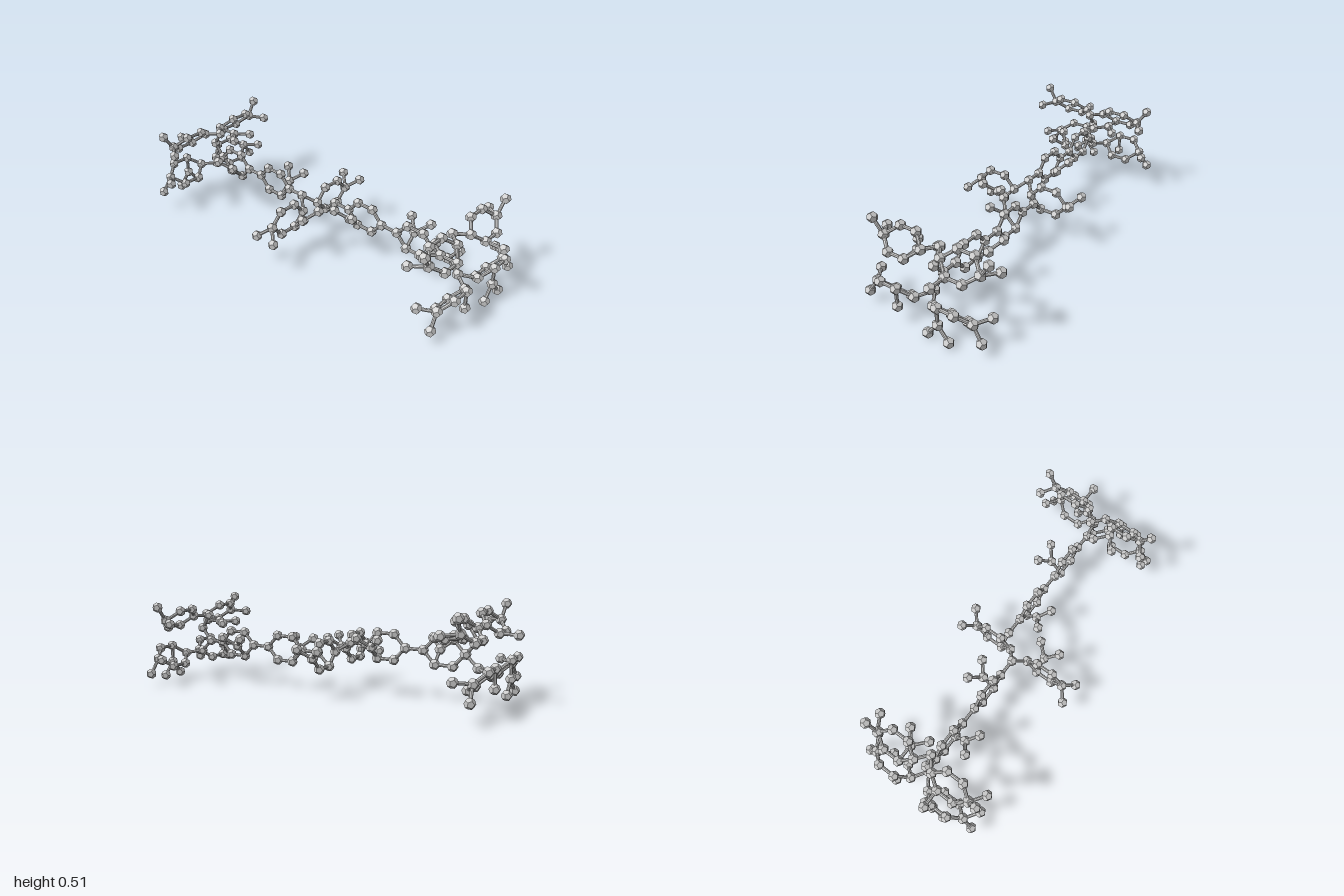
import * as THREE from 'three';

const V = (x, y, z) => new THREE.Vector3(x, y, z);
const material = new THREE.MeshStandardMaterial({ color: 0xcccccc, flatShading: true });
const ballGeometry = new THREE.DodecahedronGeometry(0.028);
const stickGeometry = new THREE.CylinderGeometry(0.009, 0.009, 1, 8, 1, true);
const UP = V(0, 1, 0), DOWN = V(0, -1, 0);
const X = V(1, 0, 0), Z = V(0, 0, 1);
const D = Math.SQRT1_2;

// p + sum of scaled directions
function offset(p, ...terms) {
  const out = p.clone();
  for (const [dir, s] of terms) out.addScaledVector(dir, s);
  return out;
}

function ball(parent, p) {
  const mesh = new THREE.Mesh(ballGeometry, material);
  mesh.name = 'ball';
  mesh.position.copy(p);
  parent.add(mesh);
  return p;
}

function stick(parent, a, b) {
  const mesh = new THREE.Mesh(stickGeometry, material);
  const d = b.clone().sub(a);
  mesh.name = 'stick';
  mesh.position.copy(a).addScaledVector(d, 0.5);
  mesh.scale.y = d.length();
  mesh.quaternion.setFromUnitVectors(UP, d.normalize());
  parent.add(mesh);
}

// Ball joined by a stick to an existing point
function grow(parent, from, p) {
  stick(parent, from, ball(parent, p));
  return p;
}

function part(parent, name) {
  const group = new THREE.Group();
  group.name = name;
  parent.add(group);
  return group;
}

// Six-sided ring: corner 0 is the root, corner 3 the far end, 1 and 2 lie on the -e side
function ring(parent, name, centre, a, e) {
  const g = part(parent, name);
  const layout = [[-0.111, 0], [-0.048, -1], [0.048, -1], [0.111, 0], [0.048, 1], [-0.048, 1]];
  const p = layout.map(([s, t]) => ball(g, offset(centre, [a, s], [e, t * 0.067])));
  p.forEach((q, i) => stick(g, q, p[(i + 1) % 6]));
  return p;
}

// Y-shaped branch leaving a ring corner along e + u, spread along side
function fork(parent, from, e, u, side) {
  const g = part(parent, 'fork');
  const hub = grow(g, from, offset(from, [e, 0.066], [u, 0.066]));
  for (const s of [-0.06, 0.06]) grow(g, hub, offset(hub, [e, 0.049], [u, 0.051], [side, s]));
}

// Two rings running along +z and -z from a shared joint, each with an outer fork;
// eFront and eBack are the cross directions of the two rings
function ringPair(parent, name, joint, centre, eFront, eBack, n) {
  const g = part(parent, name);
  ball(g, joint);
  return [[1, eFront], [-1, eBack]].map(([s, e]) => {
    const a = V(0, 0, s);
    const p = ring(g, 'ring', offset(centre, [Z, joint.z + s * 0.167]), a, e);
    stick(g, joint, p[0]);
    fork(g, p[2], e, a, n);
    return p;
  });
}

// Arm of two flat rings along x, each carrying one fork
function arm(parent, name, joint, sx, firstX, uz) {
  const g = part(parent, name);
  let last = joint;
  for (let i = 0; i < 2; i++) {
    const a = V(sx, 0, 0);
    const p = ring(g, 'armRing', V(sx * (firstX + i * 0.321), joint.y, joint.z), a, UP);
    stick(g, last, p[0]);
    fork(g, p[1], UP, V(0, 0, i ? -uz : uz), X);
    last = p[3];
  }
  return last;
}

// End cluster: an upper and a lower ring pair, built for the +x end
function endCluster(parent, name) {
  const g = part(parent, name);
  const z = -0.06;
  const core = ball(g, V(0.75, 0.22, z));

  const bend = grow(g, core, V(0.81, 0.29, z));
  const upperJoint = V(0.76, 0.367, z);
  stick(g, bend, upperJoint);
  const e1 = V(-D, D, 0), n1 = V(-D, -D, 0);
  const upper = ringPair(g, 'upperRings', upperJoint, V(0.827, 0.364, 0), e1, e1, n1);
  fork(g, upper[0][1], e1, n1, Z);
  grow(g, upper[1][1], offset(upper[1][1], [X, 0.097]));

  const lowerJoint = V(0.815, 0.157, z);
  stick(g, core, lowerJoint);
  const e2 = V(-D, -D, 0), n2 = V(D, -D, 0);
  const lower = ringPair(g, 'lowerRings', lowerJoint, V(0.893, 0.144, 0), e2, e2, n2);
  fork(g, lower[1][1], e2, n2, Z);
  grow(g, lower[0][1], offset(lower[0][1], [DOWN, 0.097]));
  return g;
}

export function createModel() {
  const model = new THREE.Group();
  model.name = 'ballAndStickModel';

  // Central pair of rings, crossing the arms
  const leftJoint = V(-0.11, 0.268, 0.056);
  const [front, back] = ringPair(model, 'centralRings', leftJoint, V(-0.05, 0.222, 0), DOWN, UP, X);
  fork(model, front[5], UP, X, Z);

  // Long arms to both ends
  arm(model, 'rightArm', leftJoint, -1, 0.318, -1);
  const rightJoint = grow(model, back[1], V(0.02, 0.222, -0.062));
  const tip = arm(model, 'leftArm', rightJoint, 1, 0.23, 1);

  // End clusters, the second turned half round and raised
  endCluster(model, 'leftEnd');
  stick(model, tip, V(0.75, 0.22, -0.06));
  const other = endCluster(model, 'rightEnd');
  other.rotation.y = Math.PI;
  other.position.y = 0.047;

  return model;
}
